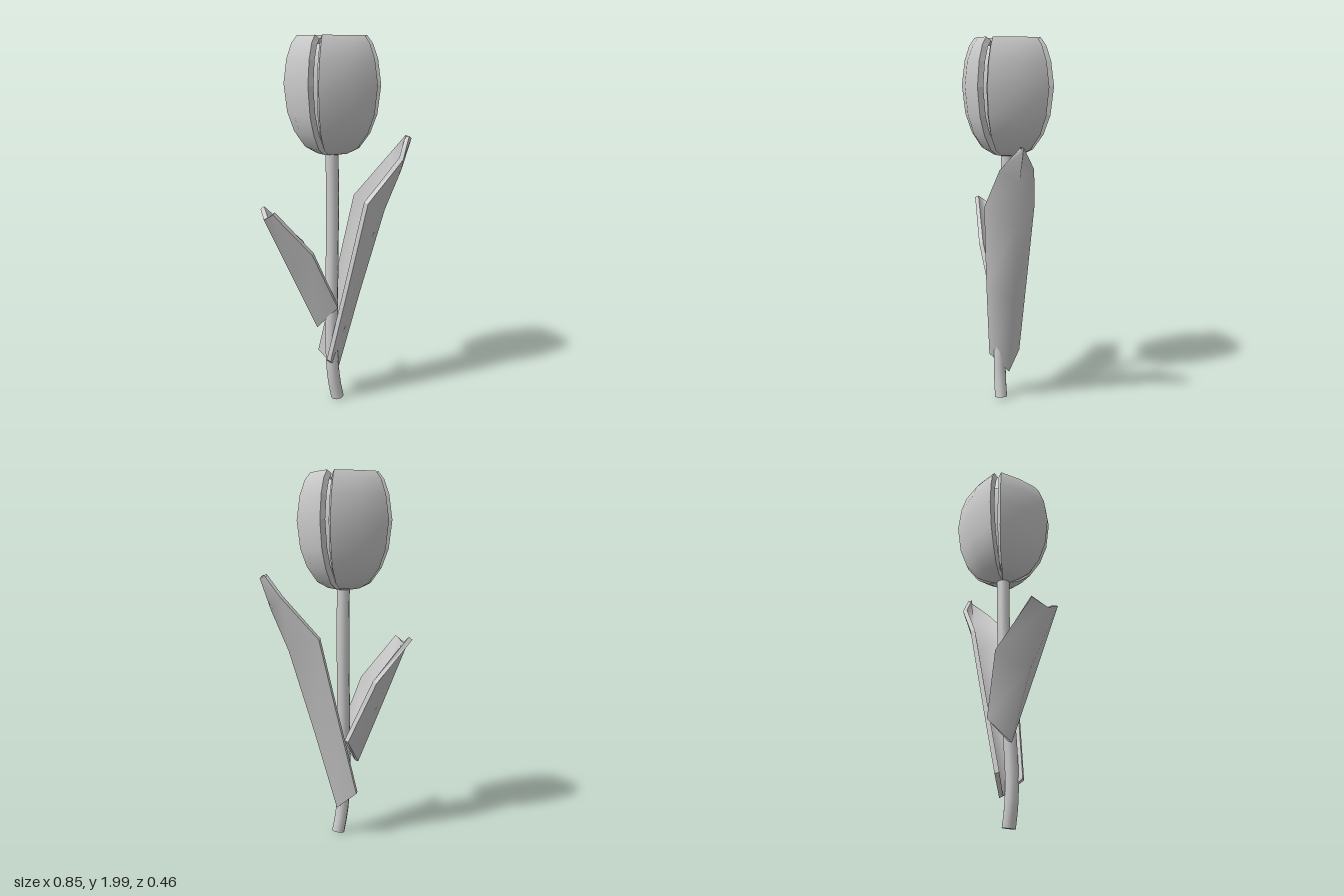
import * as THREE from 'three';
import { mergeGeometries } from 'three/addons/utils/BufferGeometryUtils.js';

const material = new THREE.MeshStandardMaterial({ color: 0xcccccc });

// Solid sheet: rows run upward, columns run left to right seen from outside.
function shell(rows, thickness) {
  const n = rows[0].length, m = rows.length;
  const outerIndex = [];
  for (let i = 0; i < m - 1; i++) {
    for (let j = 0; j < n - 1; j++) {
      const a = i * n + j, b = a + 1, c = b + n, d = a + n;
      outerIndex.push(a, b, c, a, c, d);
    }
  }
  const points = rows.flat().map(p => new THREE.Vector3(...p));
  const outer = new THREE.BufferGeometry().setFromPoints(points);
  outer.setIndex(outerIndex);
  outer.computeVertexNormals();
  const normal = outer.getAttribute('normal');
  const inside = points.map((p, i) =>
    p.clone().addScaledVector(new THREE.Vector3().fromBufferAttribute(normal, i), -thickness));
  const inner = new THREE.BufferGeometry().setFromPoints(inside);
  inner.setIndex([...outerIndex].reverse());
  inner.computeVertexNormals();

  // Rim walls around the border, kept sharp
  const loop = [];
  for (let j = 0; j < n - 1; j++) loop.push(j);
  for (let i = 0; i < m - 1; i++) loop.push(i * n + n - 1);
  for (let j = n - 1; j > 0; j--) loop.push((m - 1) * n + j);
  for (let i = m - 1; i > 0; i--) loop.push(i * n);
  const wall = [];
  loop.forEach((p, k) => {
    const q = loop[(k + 1) % loop.length];
    wall.push(points[p], inside[p], inside[q], points[p], inside[q], points[q]);
  });
  const rim = new THREE.BufferGeometry().setFromPoints(wall);
  rim.computeVertexNormals();
  return mergeGeometries([outer.toNonIndexed(), inner.toNonIndexed(), rim]);
}

function addMesh(parent, name, geometry) {
  const mesh = new THREE.Mesh(geometry, material);
  mesh.name = name;
  parent.add(mesh);
  return mesh;
}

// Petal profile: height, depth at middle, depth at edges, half width
const petalProfile = [
  [1.38, 0.022, 0.02, 0.02], [1.39, 0.075, 0.07, 0.055], [1.42, 0.125, 0.115, 0.095],
  [1.5, 0.182, 0.16, 0.133], [1.6, 0.214, 0.19, 0.155], [1.75, 0.23, 0.205, 0.165],
  [1.88, 0.215, 0.192, 0.153], [1.96, 0.184, 0.17, 0.135], [2.0, 0.155, 0.145, 0.118],
];

// Four petals around the vertical axis
function petalRing(name, rows, thickness, turn) {
  const ring = new THREE.Group();
  ring.name = name + 's';
  const geometry = shell(rows, thickness);
  for (let k = 0; k < 4; k++) {
    addMesh(ring, name, geometry).rotation.y = turn + k * Math.PI / 2;
  }
  return ring;
}

export function createModel() {
  const model = new THREE.Group();
  model.name = 'flower';

  // Blossom: outer cup and a smaller, turned inner cup
  const blossom = new THREE.Group();
  blossom.name = 'blossom';
  blossom.position.x = -0.035;
  const outerRows = petalProfile.map(([y, mid, edge, w]) => [[-w, y, edge], [0, y, mid], [w, y, edge]]);
  const s = 0.64;
  const innerRows = petalProfile.map(([y, mid, edge]) => {
    const h = 1.4 + (y - 1.38) * 0.9;
    return [[-edge * s, h, edge * s], [0, h, mid * s], [edge * s, h, edge * s]];
  });
  blossom.add(petalRing('outerPetal', outerRows, 0.032, 0));
  blossom.add(petalRing('innerPetal', innerRows, 0.014, Math.PI / 4 + 0.13));
  model.add(blossom);

  // Curved stem with end caps
  const path = new THREE.CatmullRomCurve3([
    [-0.02, 0.012, 0.04], [-0.042, 0.12, 0.04], [-0.052, 0.25, 0.038], [-0.052, 0.42, 0.03],
    [-0.042, 0.7, 0.015], [-0.033, 1.05, 0.003], [-0.033, 1.45, 0],
  ].map(p => new THREE.Vector3(...p)));
  const stem = new THREE.Group();
  stem.name = 'stem';
  addMesh(stem, 'stemTube', new THREE.TubeGeometry(path, 20, 0.035, 10));
  for (const t of [0, 1]) {
    const cap = addMesh(stem, 'stemCap', new THREE.CircleGeometry(0.035, 10));
    const end = path.getPointAt(t);
    cap.position.copy(end);
    cap.lookAt(end.clone().addScaledVector(path.getTangentAt(t), t ? 1 : -1));
  }
  model.add(stem);

  // Large leaf: edge, keel, edge at each cross-section
  addMesh(model, 'largeLeaf', shell([
    [[-0.085, 0.25, 0.09], [0.005, 0.165, 0], [-0.075, 0.26, -0.085]],
    [[0.005, 0.68, 0.13], [0.13, 0.6, 0.015], [0.035, 0.68, -0.09]],
    [[0.1, 1.13, 0.165], [0.27, 1.06, 0.035], [0.15, 1.13, -0.095]],
    [[0.32, 1.35, 0.145], [0.36, 1.28, 0.055], [0.335, 1.35, -0.03]],
    [[0.4, 1.465, 0.065], [0.42, 1.45, 0.055], [0.4, 1.465, 0.045]],
  ], 0.025));

  // Small leaf with a blunt tip
  addMesh(model, 'smallLeaf', shell([
    [[-0.02, 0.56, -0.095], [-0.12, 0.42, -0.01], [-0.04, 0.55, 0.085]],
    [[-0.165, 0.88, -0.145], [-0.285, 0.77, -0.01], [-0.2, 0.87, 0.115]],
    [[-0.41, 1.1, -0.09], [-0.425, 1.06, 0], [-0.405, 1.1, 0.083]],
  ], 0.025));

  return model;
}
